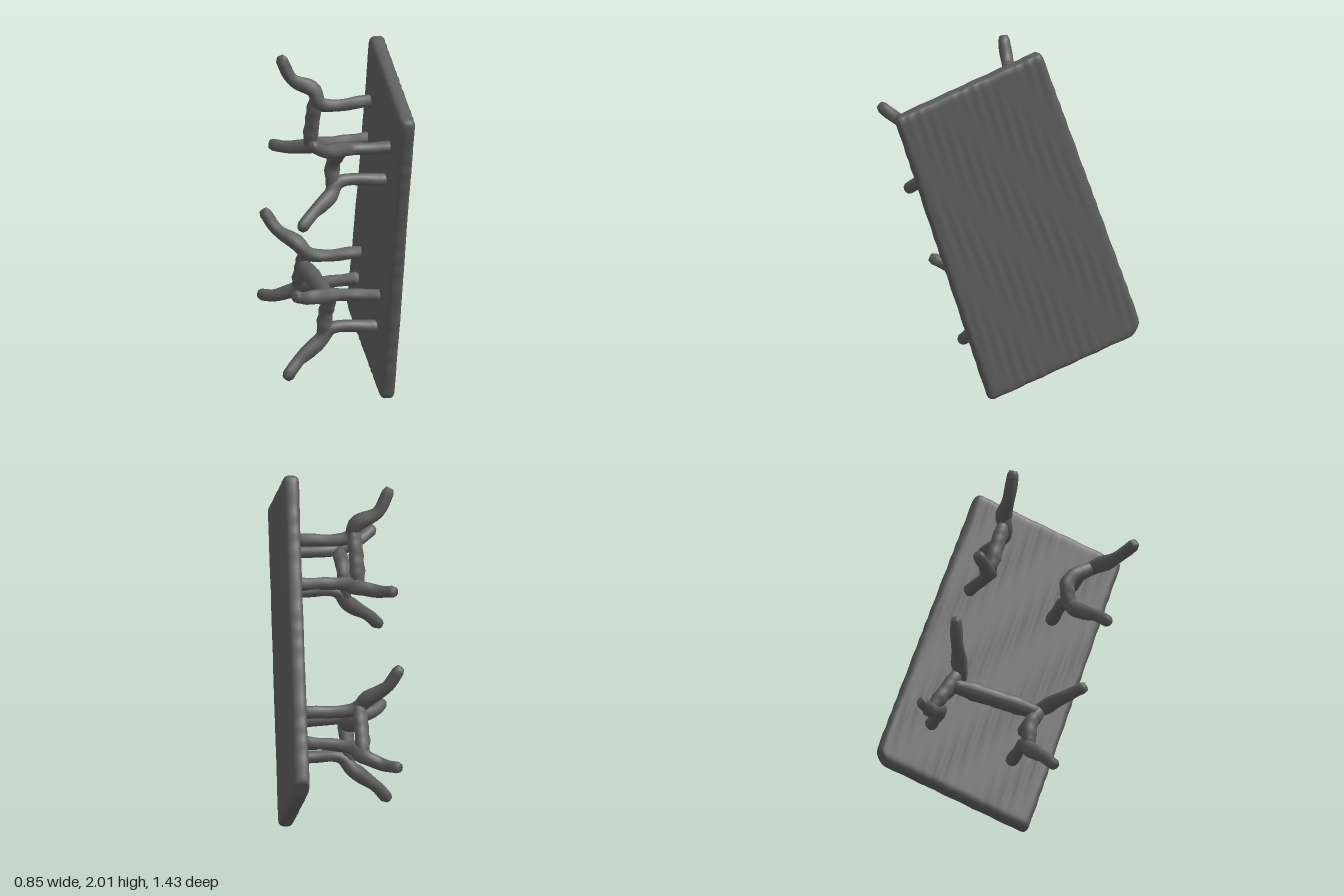
import * as THREE from 'three';
import { mergeVertices } from 'three/addons/utils/BufferGeometryUtils.js';

const material = new THREE.MeshStandardMaterial({ color: 0x5e5e5e, side: THREE.DoubleSide });

function smooth(geometry) {
  geometry.deleteAttribute('uv');
  geometry.deleteAttribute('normal');
  const merged = mergeVertices(geometry, 1e-4);
  merged.computeVertexNormals();
  return merged;
}

// Gnarled branch: a tube whose radius varies along its length, with blunt closed ends
function branch(name, points, radii, seed = 0) {
  const segments = 28, sides = 9;
  const curve = new THREE.CatmullRomCurve3(points.map((p) => new THREE.Vector3(...p)));
  const geometry = new THREE.TubeGeometry(curve, segments, 1, sides);
  const pos = geometry.attributes.position;
  const centre = new THREE.Vector3(), v = new THREE.Vector3();
  for (let i = 0; i < pos.count; i++) {
    const ring = Math.floor(i / (sides + 1)), side = i % (sides + 1) % sides;
    const t = ring / segments;
    curve.getPointAt(t, centre);
    const k = t * (radii.length - 1), n = Math.min(Math.floor(k), radii.length - 2);
    const wobble = 1 + 0.07 * Math.sin(side * 2.1 + seed) * Math.sin(ring * 0.9 + side + seed);
    const r = THREE.MathUtils.lerp(radii[n], radii[n + 1], k - n) * wobble;
    const end = ring === 0 || ring === segments;
    v.fromBufferAttribute(pos, i).sub(centre).multiplyScalar(end ? r * 0.7 : r).add(centre);
    pos.setXYZ(i, v.x, v.y, v.z);
  }
  // Close both ends with a fan
  const index = Array.from(geometry.index.array);
  const last = segments * (sides + 1);
  for (let s = 1; s < sides - 1; s++) {
    index.push(0, s, s + 1, last, last + s + 1, last + s);
  }
  geometry.setIndex(index);
  const mesh = new THREE.Mesh(smooth(geometry), material);
  mesh.name = name;
  return mesh;
}

// Thick tipped slab with rounded edges and shallow grooves along its length
function tabletop() {
  const U = new THREE.Vector3(0.162, 0.3, -0.81);
  const V = new THREE.Vector3(-0.106, 1.7, 0.53);
  const hu = U.length() / 2 + 0.01, hv = V.length() / 2 + 0.01, hw = 0.043, r = 0.032;
  const geometry = new THREE.BoxGeometry(hu * 2, hv * 2, hw * 2, 64, 90, 6);
  const pos = geometry.attributes.position;
  const p = new THREE.Vector3(), inner = new THREE.Vector3();
  const limit = new THREE.Vector3(hu - r, hv - r, hw - r);
  for (let i = 0; i < pos.count; i++) {
    p.fromBufferAttribute(pos, i);
    inner.copy(p).clamp(limit.clone().negate(), limit);
    p.sub(inner).setLength(r).add(inner);
    // Worn lower back corner
    const d = hu - p.x + hv + p.y;
    if (d < 0.07) {
      p.x -= (0.07 - d) / 2;
      p.y += (0.07 - d) / 2;
    }
    // The lower end is slightly wider toward the back
    p.x += 0.05 * (0.5 + p.x / hu / 2) * (0.5 - p.y / hv / 2);
    // Grooves and uneven rim
    const face = THREE.MathUtils.clamp(p.z / hw, -1, 1);
    p.z += face * 0.0014 * Math.sin(p.x * 95 + 0.8 * Math.sin(p.y * 5)) * (1 + Math.sin(p.y * 9 + p.x * 17));
    p.x += (p.x / hu) * 0.0015 * Math.sin(p.y * 47 + 2 * Math.sin(p.y * 11));
    p.y += (p.y / hv) * 0.0015 * Math.sin(p.x * 37);
    pos.setXYZ(i, p.x, p.y, p.z);
  }
  U.normalize();
  V.normalize();
  const W = U.clone().cross(V).normalize();
  geometry.applyMatrix4(new THREE.Matrix4().makeBasis(U, V, W).setPosition(0.24, 1, 0.04));
  const mesh = new THREE.Mesh(smooth(geometry), material);
  mesh.name = 'tabletop';
  return mesh;
}

// Each leg runs from its foot, through a knee, to the underside of the top
const upperLegs = [
  [[-0.285, 1.92, -0.17], [-0.22, 1.79, -0.16], [-0.1, 1.72, -0.13], [-0.07, 1.645, -0.1], [0.24, 1.64, -0.08]],
  [[-0.41, 1.59, 0.54], [-0.3, 1.53, 0.48], [-0.17, 1.51, 0.41], [-0.1, 1.5, 0.38], [0.15, 1.495, 0.42]],
  [[-0.255, 1.37, -0.38], [-0.17, 1.365, -0.29], [-0.09, 1.38, -0.23], [-0.03, 1.395, -0.18], [0.26, 1.405, -0.16]],
  [[-0.4, 1.07, 0.375], [-0.3, 1.145, 0.33], [-0.18, 1.215, 0.28], [-0.12, 1.285, 0.26], [0.16, 1.285, 0.31]],
];
const lowerLegs = [
  [[-0.24, 0.965, -0.51], [-0.18, 0.86, -0.47], [-0.08, 0.78, -0.4], [-0.02, 0.72, -0.36], [0.29, 0.71, -0.33]],
  [[-0.375, 0.655, 0.24], [-0.28, 0.615, 0.16], [-0.12, 0.605, 0.12], [-0.05, 0.6, 0.11], [0.2, 0.58, 0.15]],
  [[-0.18, 0.43, -0.7], [-0.11, 0.44, -0.61], [-0.02, 0.48, -0.55], [0.03, 0.52, -0.46], [0.29, 0.55, -0.38]],
  [[-0.35, 0.14, 0.06], [-0.25, 0.235, 0.03], [-0.13, 0.32, 0.02], [-0.07, 0.39, 0.03], [0.2, 0.39, 0.08]],
];
// Links joining neighbouring knees
const upperLinks = [
  [[-0.09, 1.69, -0.12], [-0.09, 1.53, -0.17], [-0.09, 1.38, -0.21]],
  [[-0.16, 1.51, 0.4], [-0.15, 1.39, 0.25], [-0.155, 1.24, 0.26]],
];
const lowerLinks = [
  [[-0.04, 0.74, -0.38], [-0.03, 0.61, -0.46], [-0.015, 0.49, -0.54]],
  [[-0.1, 0.6, 0.11], [-0.1, 0.49, 0.04], [-0.11, 0.35, 0.025]],
];

function legFrame(name, legs, links) {
  const group = new THREE.Group();
  group.name = name;
  legs.forEach((path, i) => group.add(branch('leg', path, [0.034, 0.035, 0.046, 0.036, 0.034, 0.038], i)));
  links.forEach((path, i) => group.add(branch('legLink', path, [0.032, 0.043, 0.041, 0.043, 0.032], i + 5)));
  return group;
}

export function createModel() {
  const model = new THREE.Group();
  model.name = 'tippedTable';
  const lower = legFrame('lowerLegFrame', lowerLegs, lowerLinks);
  lower.add(branch('crossbar', [[-0.04, 0.65, -0.43], [-0.07, 0.61, -0.15], [-0.1, 0.57, 0.09]], [0.035, 0.052, 0.048, 0.05, 0.035], 9));
  model.add(tabletop(), legFrame('upperLegFrame', upperLegs, upperLinks), lower);
  return model;
}
